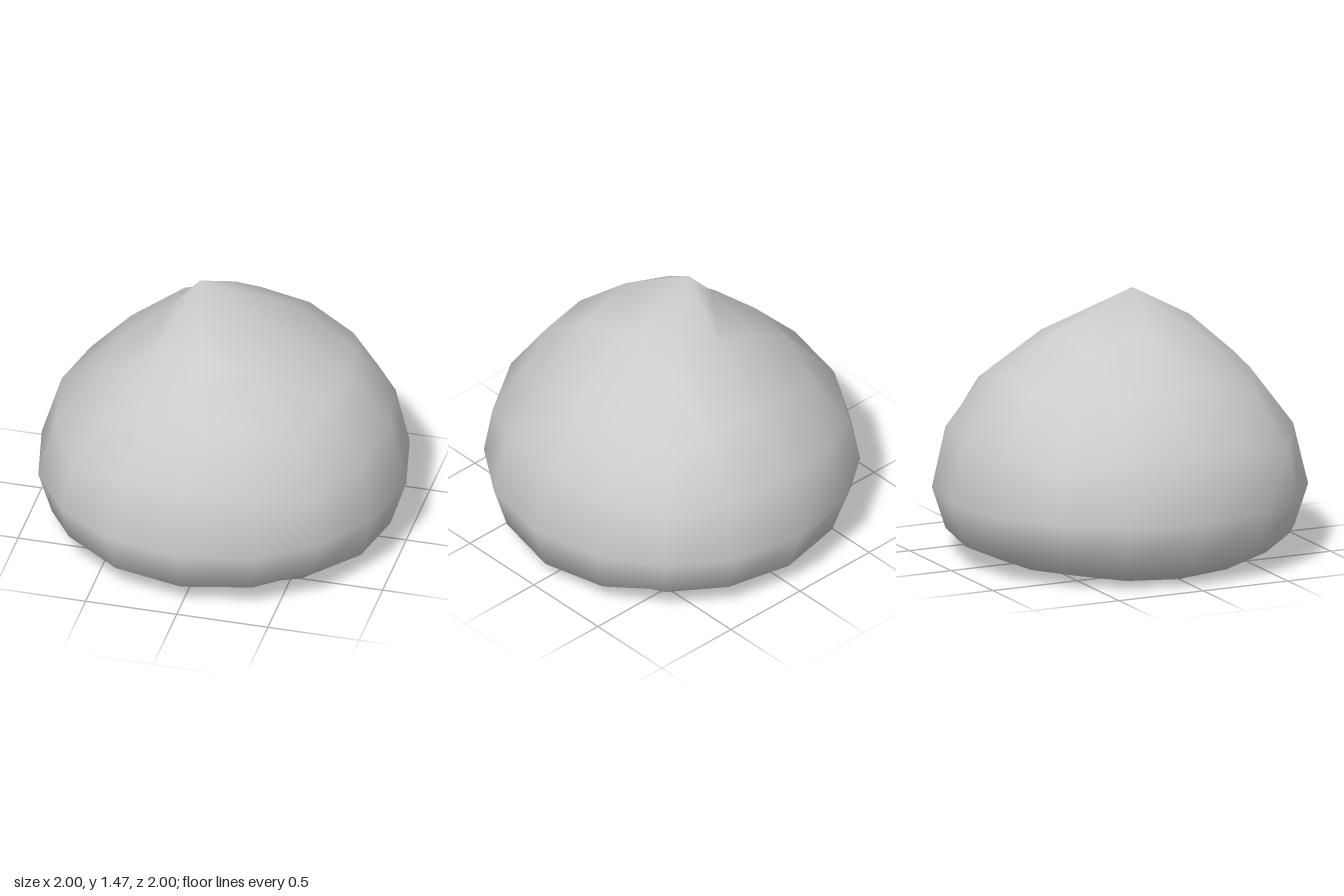
import * as THREE from 'three';
import { mergeVertices } from 'three/addons/utils/BufferGeometryUtils.js';

// Rows: height on a unit sphere, final y, x scale, x shift, z scale, z shift
const PROFILE = [
  [-1, 0, 1, 0, 1, 0],
  [-0.707, 0, 1, 0, 1, 0],
  [-0.405, 0.095, 1, 0, 1, 0],
  [0, 0.36, 1, 0, 1, 0],
  [0.405, 0.715, 0.985, 0.01, 1, 0],
  [0.707, 1.02, 0.9, 0.035, 0.955, 0.005],
  [0.915, 1.26, 0.73, -0.025, 0.91, 0.03],
  [1, 1.47, 0.7, -0.13, 0.9, 0.01],
];

function sampleProfile(h) {
  let i = 0;
  while (i < PROFILE.length - 2 && h > PROFILE[i + 1][0]) i++;
  const a = PROFILE[i], b = PROFILE[i + 1];
  const t = (h - a[0]) / (b[0] - a[0]);
  return a.map((v, k) => THREE.MathUtils.lerp(v, b[k], t));
}

export function createModel() {
  const group = new THREE.Group();

  // Cube grid, rounded into a sphere, then reshaped into a drop with a flat base
  let geo = new THREE.BoxGeometry(2, 2, 2, 4, 4, 4);
  geo.deleteAttribute('normal');
  geo.deleteAttribute('uv');
  geo = mergeVertices(geo);

  const pos = geo.attributes.position;
  const p = new THREE.Vector3();
  const even = (v) => (Math.abs(Math.abs(v) - 0.5) < 0.01 ? Math.sign(v) * 0.443 : v);
  for (let i = 0; i < pos.count; i++) {
    p.fromBufferAttribute(pos, i);
    p.set(even(p.x), even(p.y), even(p.z)).normalize();
    const [, y, sx, dx, sz, dz] = sampleProfile(p.y);
    // The underside curves up slightly towards front and back
    const lift = 0.055 * p.z * p.z * THREE.MathUtils.clamp(-p.y * 1.4, 0, 1);
    pos.setXYZ(i, p.x * sx + dx, y + lift, p.z * sz + dz);
  }
  geo.computeVertexNormals();

  const body = new THREE.Mesh(geo, new THREE.MeshStandardMaterial({ color: 0xcccccc }));
  body.name = 'dropBody';
  group.add(body);
  return group;
}
